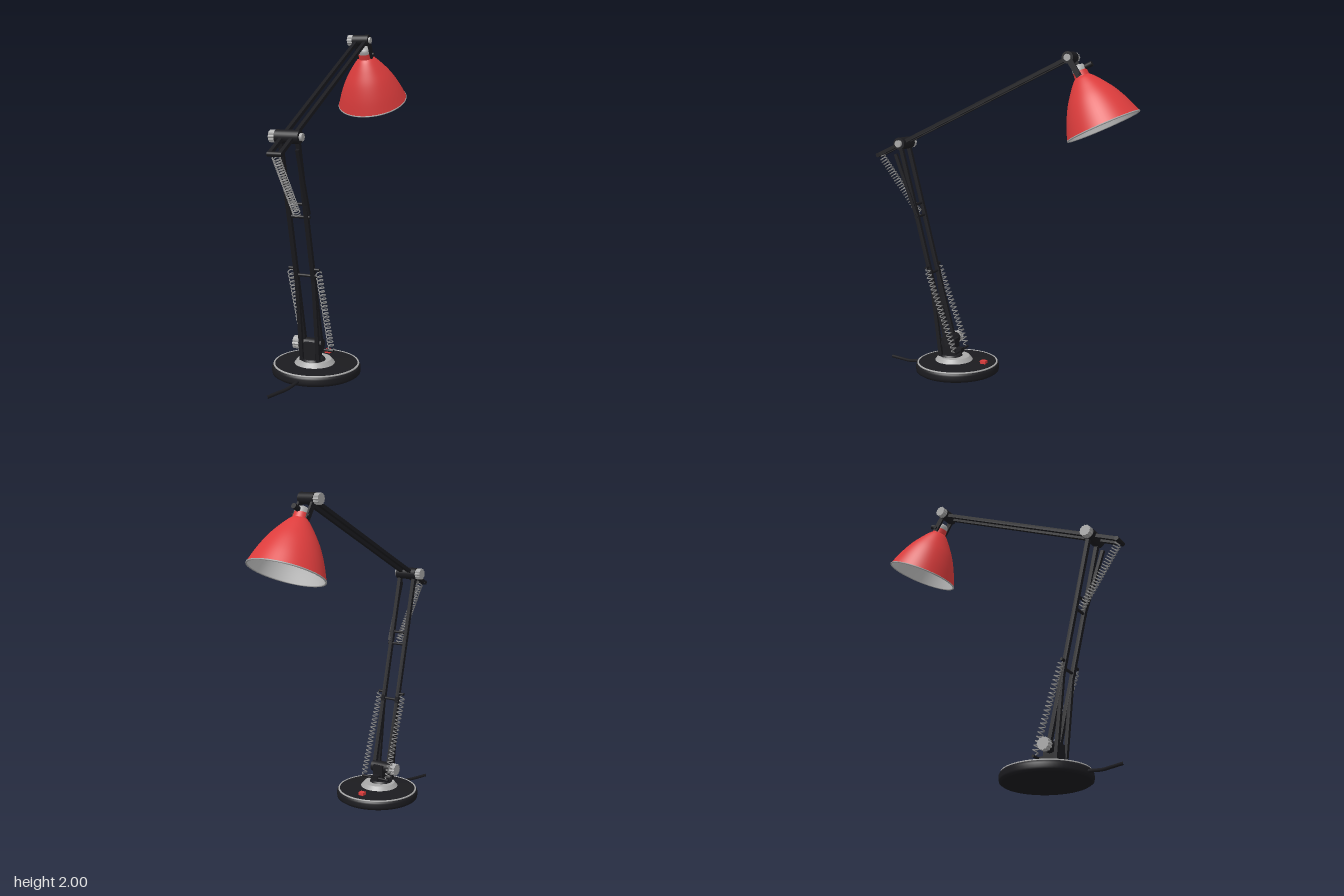
import * as THREE from 'three';

const mat = (color, side = THREE.FrontSide) =>
  new THREE.MeshStandardMaterial({ color, side });
const V = (x, y, z) => new THREE.Vector3(x, y, z);

export function createModel() {
  const lamp = new THREE.Group();
  const black = mat(0x1b1b1f), grey = mat(0xa8a8a8), steel = mat(0x858585), red = mat(0xdc3c3c);

  const add = (name, geometry, material, parent = lamp) => {
    const mesh = new THREE.Mesh(geometry, material);
    mesh.name = name;
    parent.add(mesh);
    return mesh;
  };

  // Square bar between two points
  const bar = (name, a, b, w, d = w, material = black) => {
    const m = add(name, new THREE.BoxGeometry(w, d, a.distanceTo(b)), material);
    m.position.copy(a).add(b).multiplyScalar(0.5);
    m.lookAt(b);
    return m;
  };

  // Cylinder lying along x
  const axle = (name, x0, x1, y, z, r, material = black, sides = 28) => {
    const g = new THREE.CylinderGeometry(r, r, x1 - x0, sides).rotateZ(Math.PI / 2);
    return add(name, g, material).position.set((x0 + x1) / 2, y, z);
  };

  // Knob with scalloped rim, lying along x
  const knob = (name, x0, x1, y, z, r) => {
    const s = new THREE.Shape();
    for (let i = 0; i < 48; i++) {
      const a = i / 48 * Math.PI * 2, q = r * (1 + 0.06 * Math.cos(a * 12));
      s[i ? 'lineTo' : 'moveTo'](q * Math.cos(a), q * Math.sin(a));
    }
    const g = new THREE.ExtrudeGeometry(s, { depth: x1 - x0, bevelEnabled: false }).rotateY(Math.PI / 2);
    add(name, g, grey).position.set(x0, y, z);
  };

  // Coil spring between two points, with straight hook ends
  const spring = (name, a, b, r, turns, wire) => {
    const dir = b.clone().sub(a), len = dir.length();
    const pts = [V(0, 0, 0)], n = turns * 10;
    for (let i = 0; i <= n; i++) {
      const t = i / n, ang = t * turns * Math.PI * 2;
      pts.push(V(r * Math.cos(ang), len * (0.03 + 0.94 * t), r * Math.sin(ang)));
    }
    pts.push(V(0, len, 0));
    const g = new THREE.TubeGeometry(new THREE.CatmullRomCurve3(pts), turns * 14, wire, 5);
    const m = add(name, g, steel);
    m.position.copy(a);
    m.quaternion.setFromUnitVectors(V(0, 1, 0), dir.normalize());
  };

  const lathe = (pts, n = 64) => new THREE.LatheGeometry(pts.map(p => new THREE.Vector2(...p)), n);

  // Base: weighted disc, bright rim, hub plate, switch and cable
  const base = new THREE.Group();
  base.name = 'base';
  base.position.z = 0.3;
  lamp.add(base);
  add('baseDisc', lathe([[0, 0], [0.25, 0], [0.25, 0], [0.262, 0.008], [0.264, 0.02], [0.264, 0.042],
    [0.26, 0.052], [0.25, 0.06], [0.25, 0.06], [0.235, 0.065], [0, 0.073]]), black, base);
  add('baseRim', new THREE.TorusGeometry(0.25, 0.006, 8, 64).rotateX(Math.PI / 2), grey, base).position.y = 0.059;
  add('hubPlate', new THREE.CylinderGeometry(0.1, 0.12, 0.025, 40), grey, base).position.set(0, 0.083, 0.025);
  add('hubCollar', new THREE.CylinderGeometry(0.065, 0.075, 0.015, 32), black, base).position.set(0, 0.1, 0.045);
  add('switchButton', new THREE.BoxGeometry(0.036, 0.02, 0.036), red, base).position.set(0, 0.075, -0.18);
  const cablePath = new THREE.CatmullRomCurve3([V(0, 0.03, 0.54), V(-0.005, 0.026, 0.58), V(-0.025, 0.014, 0.66),
    V(-0.05, 0.012, 0.73), V(-0.075, 0.012, 0.81)]);
  add('cable', new THREE.TubeGeometry(cablePath, 24, 0.01, 8), black);

  // Pivot block at the foot of the lower arm
  add('pivotBlock', new THREE.BoxGeometry(0.072, 0.12, 0.1), black).position.set(0, 0.15, 0.352);
  axle('footAxle', -0.08, 0.062, 0.19, 0.35, 0.036);
  knob('footKnob', -0.118, -0.078, 0.19, 0.35, 0.037);
  axle('springPin', -0.1, 0.1, 0.135, 0.275, 0.008);
  bar('springLug', V(0, 0.135, 0.265), V(0, 0.135, 0.33), 0.05, 0.03);

  // Lower arm: z follows the slope of the main rods
  const armZ = y => 0.35 + (y - 0.19) * 0.248;
  for (const s of [-1, 1]) {
    bar('lowerArmRod', V(s * 0.052, 0.17, armZ(0.17)), V(s * 0.052, 1.44, armZ(1.44)), 0.024);
    bar('lowerLinkRod', V(s * 0.052, 0.1, 0.392), V(s * 0.052, 0.65, 0.458), 0.022);
    axle('springHook', Math.min(s * 0.05, s * 0.095), Math.max(s * 0.05, s * 0.095), 0.67, armZ(0.67), 0.009);
    spring('lowerSpring', V(s * 0.088, 0.135, 0.275), V(s * 0.088, 0.67, armZ(0.67)), 0.017, 21, 0.0035);
  }
  bar('upperLinkRod', V(0.064, 1.0, 0.546), V(0.064, 1.375, 0.686), 0.02);
  for (const y of [0.63, 0.985, 1.06]) axle('crossbar', -0.06, 0.074, y, armZ(y), 0.009, black, 12);

  // Elbow joint
  axle('elbowAxle', -0.072, 0.07, 1.44, 0.66, 0.038);
  axle('elbowCap', 0.068, 0.086, 1.44, 0.66, 0.022, grey);
  knob('elbowKnob', -0.108, -0.07, 1.44, 0.66, 0.034);

  // Upper arm with tail and balance spring
  for (const s of [-1, 1])
    bar('upperArmRod', V(s * 0.031, 1.362, 0.83), V(s * 0.031, 1.96, -0.43), 0.022);
  axle('tailBar', -0.043, 0.043, 1.362, 0.828, 0.014);
  spring('balanceSpring', V(0, 1.362, 0.828), V(0, 0.99, 0.552), 0.021, 24, 0.0035);

  // Head joint
  axle('headAxle', -0.055, 0.05, 1.962, -0.43, 0.035);
  axle('headCap', 0.048, 0.062, 1.962, -0.43, 0.02, grey);
  knob('headKnob', -0.09, -0.054, 1.962, -0.43, 0.032);
  for (const s of [-1, 1])
    bar('headFork', V(s * 0.045, 1.965, -0.428), V(s * 0.045, 1.855, -0.5), 0.014, 0.034);

  // Shade: red outside, pale inside, tilted back
  const head = new THREE.Group();
  head.name = 'head';
  head.position.set(0, 1.57, -0.635);
  head.rotation.x = 0.434;
  lamp.add(head);
  const profile = new THREE.SplineCurve([[0.226, 0], [0.192, 0.09], [0.15, 0.175], [0.103, 0.245], [0.065, 0.293], [0.045, 0.312]]
    .map(p => new THREE.Vector2(...p))).getPoints(24).map(p => [p.x, p.y]);
  add('shadeOuter', lathe(profile), mat(0xdc3c3c, THREE.DoubleSide), head);
  add('shadeInner', lathe(profile.map(([x, y]) => [x - 0.006, y - 0.003])), mat(0xcccccc, THREE.DoubleSide), head);
  add('shadeRim', new THREE.TorusGeometry(0.223, 0.005, 8, 64).rotateX(Math.PI / 2), grey, head);
  add('neck', new THREE.CylinderGeometry(0.042, 0.046, 0.04, 32), red, head).position.y = 0.325;
  add('neckCap', lathe([[0.042, 0], [0.042, 0.02], [0.034, 0.034], [0.018, 0.041], [0, 0.043]], 32), grey, head).position.y = 0.343;
  const button = add('headSwitch', new THREE.CylinderGeometry(0.016, 0.016, 0.05, 16).rotateX(Math.PI / 2), black, head);
  button.position.set(0, 0.355, -0.06);
  add('forkBolt', new THREE.CylinderGeometry(0.012, 0.012, 0.12, 16).rotateZ(Math.PI / 2), black, head).position.y = 0.335;
  add('socket', new THREE.CylinderGeometry(0.032, 0.032, 0.09, 24), grey, head).position.y = 0.27;
  add('bulb', new THREE.SphereGeometry(0.056, 28, 18), grey, head).position.y = 0.185;

  return lamp;
}
